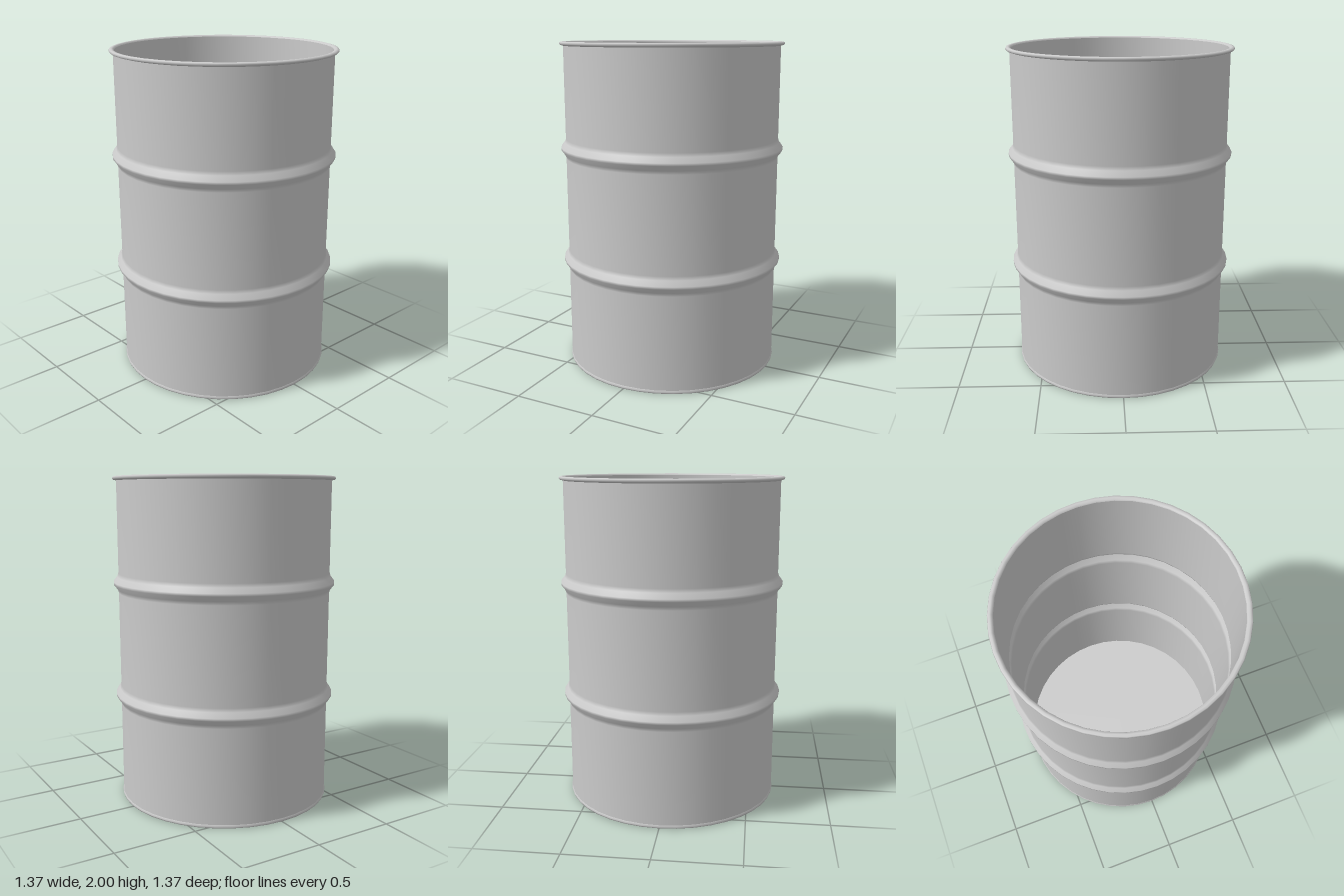
import * as THREE from 'three';

const SIDES = 40;
const WALL = 0.657;   // outer wall radius
const THICK = 0.008;  // sheet thickness
const RIBS = [0.66, 1.36];

export function createModel() {
  const drum = new THREE.Group();
  drum.name = 'drum';
  const material = new THREE.MeshStandardMaterial({ color: 0xcccccc });

  // Revolve a [radius, height] profile; rising profiles face outward
  const revolve = (name, profile) => {
    const points = profile.map(([r, y]) => new THREE.Vector2(r, y));
    const mesh = new THREE.Mesh(new THREE.LatheGeometry(points, SIDES), material);
    mesh.name = name;
    drum.add(mesh);
  };

  // Wall profile with two pressed rolling ribs
  const wallProfile = (r, bottom, top) => [
    [r, bottom],
    ...RIBS.flatMap((y) => [
      [r, y - 0.06], [r + 0.007, y - 0.038], [r + 0.03, y - 0.008],
      [r + 0.03, y + 0.008], [r + 0.007, y + 0.038], [r, y + 0.06],
    ]),
    [r, top],
  ];

  revolve('outerWall', wallProfile(WALL, 0.015, 1.98));
  revolve('innerWall', wallProfile(WALL - THICK, 0.03, 1.99).reverse());

  // Rolled lip around the open top
  revolve('topRim', [
    [WALL, 1.975], [0.674, 1.98], [0.681, 1.988], [0.677, 1.997],
    [0.665, 2], [0.653, 1.997], [WALL - THICK, 1.985],
  ]);

  // Narrow seam around the base
  revolve('bottomRim', [[0.645, 0], [0.659, 0.003], [0.662, 0.012], [WALL, 0.022]]);

  // Base seen from below and floor seen from inside
  revolve('base', [[0, 0.008], [0.638, 0.008], [0.645, 0]]);
  revolve('floor', [[WALL - THICK, 0.03], [0, 0.03]]);

  return drum;
}
